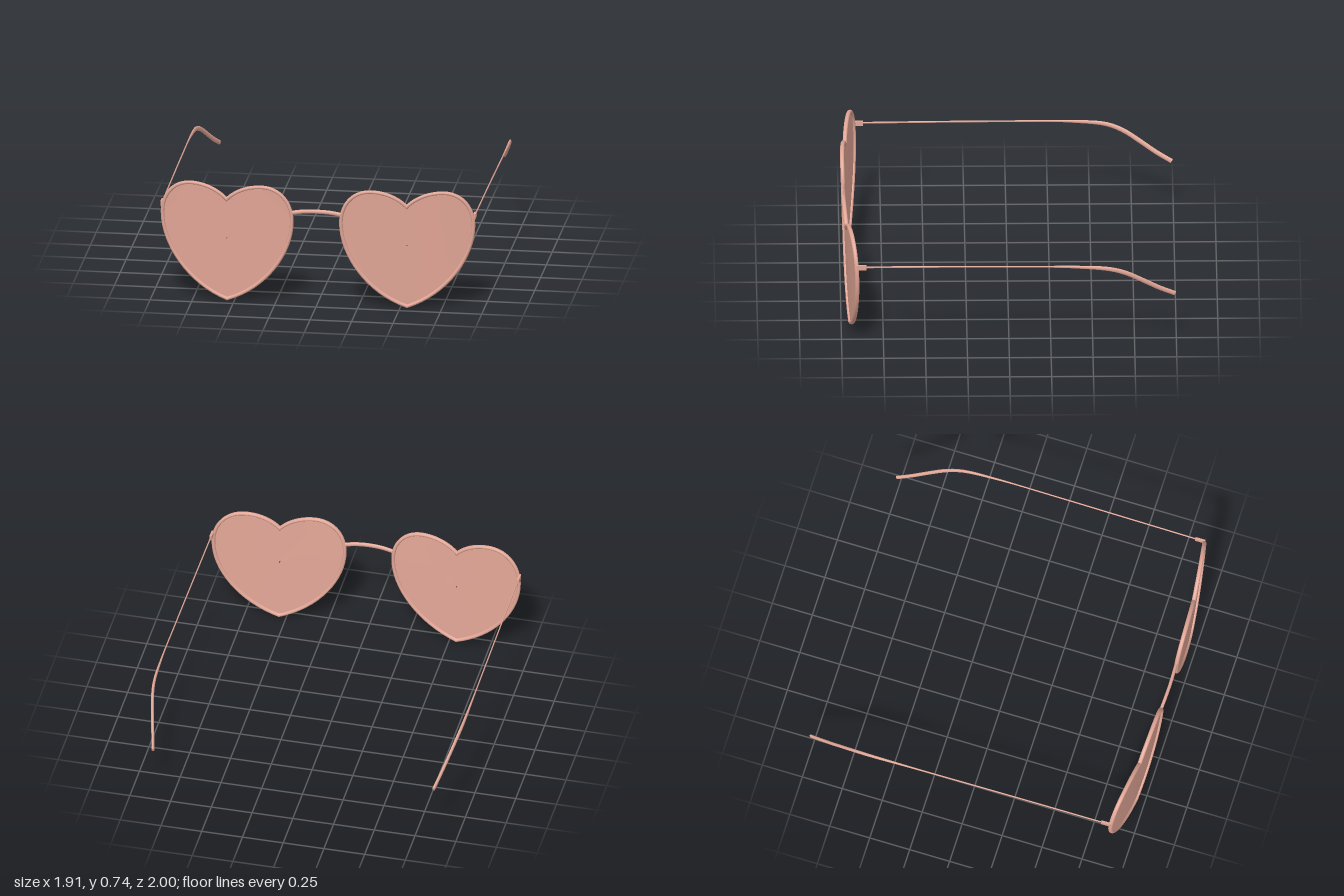
import * as THREE from 'three';

const material = new THREE.MeshStandardMaterial({ color: 0xe2a696, side: THREE.DoubleSide });
const V = (x, y, z) => new THREE.Vector3(x, y, z);

// Smooth surface through rows of points; every row is a closed ring
function loft(name, rows, closed = false) {
  const n = rows[0].length, m = rows.length, index = [];
  for (let i = 0; i < (closed ? m : m - 1); i++) {
    for (let j = 0; j < n; j++) {
      const a = i * n + j, b = ((i + 1) % m) * n + j;
      const c = i * n + (j + 1) % n, d = ((i + 1) % m) * n + (j + 1) % n;
      index.push(a, b, c, b, d, c);
    }
  }
  const geometry = new THREE.BufferGeometry().setFromPoints(rows.flat());
  geometry.setIndex(index);
  geometry.computeVertexNormals();
  const mesh = new THREE.Mesh(geometry, material);
  mesh.name = name;
  return mesh;
}

// Oval rod along a curve; size(t) gives [half width along side, half height]
function rod(name, points, side, size, steps, sides = 12) {
  const curve = new THREE.CatmullRomCurve3(points), rows = [];
  for (let i = 0; i <= steps; i++) {
    const p = curve.getPointAt(i / steps), t = curve.getTangentAt(i / steps);
    const a = side.clone().addScaledVector(t, -side.dot(t)).normalize();
    const b = a.clone().cross(t);
    const [w, h] = size(p);
    const ring = [];
    for (let j = 0; j < sides; j++) {
      const k = j / sides * Math.PI * 2;
      ring.push(p.clone().addScaledVector(a, w * Math.cos(k)).addScaledVector(b, h * Math.sin(k)));
    }
    if (i === 0) rows.push(ring.map(() => p.clone()), ring.map(q => q.clone()));
    rows.push(ring);
    if (i === steps) rows.push(ring.map(q => q.clone()), ring.map(() => p.clone()));
  }
  return loft(name, rows);
}

// Heart outline, clockwise from the notch, centred on x = 0
function heartOutline() {
  const shape = new THREE.Shape();
  shape.moveTo(0, 0.645);
  shape.bezierCurveTo(0.05, 0.70, 0.13, 0.735, 0.215, 0.735);
  shape.bezierCurveTo(0.32, 0.735, 0.395, 0.65, 0.395, 0.53);
  shape.bezierCurveTo(0.395, 0.33, 0.24, 0.10, 0, 0.015);
  const half = shape.getPoints(16);
  const mirrored = half.slice(1, -1).reverse().map(p => new THREE.Vector2(-p.x, p.y));
  return [...half, ...mirrored];
}

// Wrap and tilt of the front: depth at a given place
function depth(x, y) {
  const t = (Math.abs(x) - 0.14) / 0.805;
  return 0.98 + 0.004 * t - 0.076 * t * t + 0.035 * (y - 0.53);
}

function rim(outline, cx) {
  const n = outline.length, sides = 10;
  const normal = (p, q) => new THREE.Vector2(p.y - q.y, q.x - p.x).normalize();
  const rows = outline.map((p, i) => {
    // Mitred outward direction keeps the notch and the tip sharp
    const n1 = normal(outline[(i + n - 1) % n], p), n2 = normal(p, outline[(i + 1) % n]);
    const out = n1.clone().add(n2).divideScalar(1 + n1.dot(n2));
    return Array.from({ length: sides }, (_, j) => {
      const k = j / sides * Math.PI * 2, r = 0.011 * Math.cos(k);
      const x = cx + p.x + out.x * r, y = p.y + out.y * r;
      return V(x, y, depth(x, y) - 0.013 * Math.sin(k));
    });
  });
  return loft('rim', rows, true);
}

function lens(outline, cx) {
  const rows = [1, 0.75, 0.5, 0.25, 0.01].map(s => outline.map(p => {
    const x = cx + p.x * s, y = 0.4 + (p.y - 0.4) * s;
    return V(x, y, depth(x, y));
  }));
  return loft('lens', rows);
}

export function createModel() {
  const model = new THREE.Group();
  const outline = heartOutline();

  for (const s of [1, -1]) {
    const side = s > 0 ? 'left' : 'right';

    // Heart-shaped front
    const eye = new THREE.Group();
    eye.name = side + 'Eyepiece';
    eye.add(rim(outline, s * 0.543), lens(outline, s * 0.543));
    model.add(eye);

    // Hinge block behind the outer edge of the rim
    const hinge = new THREE.Mesh(new THREE.BoxGeometry(0.014, 0.03, 0.06), material);
    hinge.name = side + 'Hinge';
    hinge.position.set(s * 0.943, 0.583, 0.883);
    model.add(hinge);

    // Thin arm swelling into the bent ear tip
    const path = [
      [0.943, 0.585, 0.88], [0.946, 0.588, 0.4], [0.949, 0.588, 0], [0.951, 0.584, -0.4],
      [0.946, 0.567, -0.6], [0.932, 0.532, -0.7], [0.909, 0.472, -0.8],
      [0.883, 0.408, -0.9], [0.861, 0.36, -0.99],
    ].map(([x, y, z]) => V(s * x, y, z));
    model.add(rod(side + 'Temple', path, V(1, 0, 0), p => {
      const k = THREE.MathUtils.smoothstep(-p.z, 0.2, 0.7);
      return [0.004 + 0.005 * k, 0.006 + 0.009 * k];
    }, 60));
  }

  // Gently arched nose bridge
  const arch = [[-0.145, 0.583, 0.98], [-0.08, 0.594, 0.984], [0, 0.598, 0.986],
    [0.08, 0.594, 0.984], [0.145, 0.583, 0.98]].map(p => V(...p));
  model.add(rod('bridge', arch, V(0, 0, 1), () => [0.01, 0.013], 24));

  return model;
}
